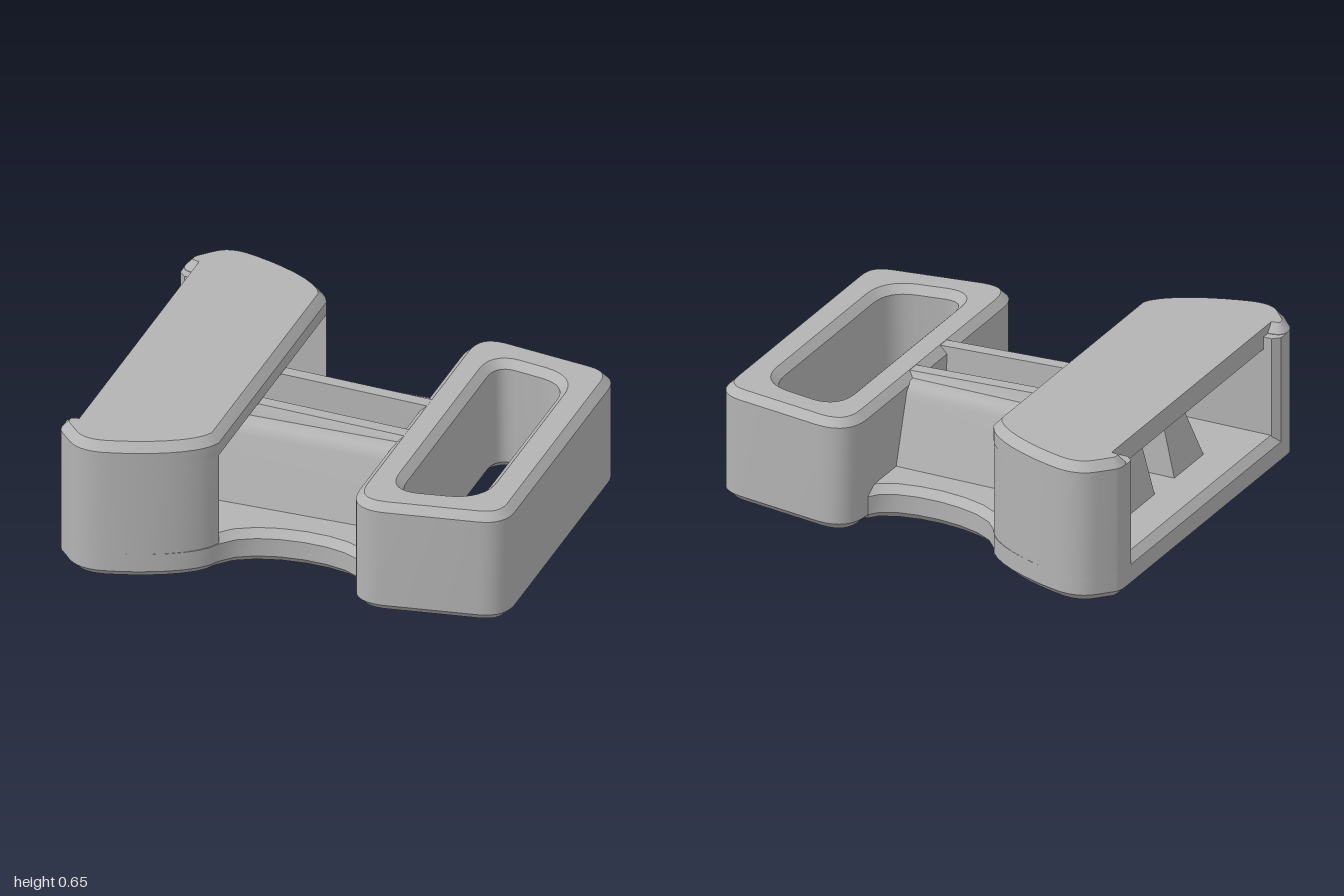
import * as THREE from 'three';
import { toCreasedNormals } from 'three/addons/utils/BufferGeometryUtils.js';

const BEVEL = 0.035;

// Points of a drawn path, without repeated neighbours
function trace(x, z, draw) {
  const path = new THREE.Path();
  path.moveTo(x, z);
  draw(path);
  return path.getPoints(8).filter((p, i, all) => i === 0 || p.distanceTo(all[i - 1]) > 1e-4);
}

// Reflects a list in z while keeping its winding
const flip = (pts) => pts.map((p) => new THREE.Vector2(p.x, -p.y)).reverse();

// Closes a half outline (drawn from z = 0 to z = 0) with its reflection
const mirror = (half) => [...half, ...flip(half.slice(1, -1))];

// Moves an outline inwards by d, with mitred corners
function inset(pts, d) {
  const n = pts.length;
  return pts.map((p, i) => {
    const a = p.clone().sub(pts[(i + n - 1) % n]).normalize();
    const b = pts[(i + 1) % n].clone().sub(p).normalize();
    const k = d / Math.max(0.3, 1 + a.dot(b));
    return new THREE.Vector2(p.x - (a.y + b.y) * k, p.y + (a.x + b.x) * k);
  });
}

// Joins rings of [x, y, z] points with side faces
function sides(out, rings, reverse) {
  for (let r = 0; r < rings.length - 1; r++) {
    const lo = rings[r], hi = rings[r + 1];
    for (let i = 0; i < lo.length; i++) {
      const j = (i + 1) % lo.length;
      const quad = [lo[i], hi[i], lo[j], lo[j], hi[i], hi[j]];
      out.push(...(reverse ? quad.reverse() : quad));
    }
  }
}

function finish(tris) {
  const geo = new THREE.BufferGeometry();
  geo.setAttribute('position', new THREE.Float32BufferAttribute(tris.flat(), 3));
  return toCreasedNormals(geo, 0.5);
}

// Upright block from an outline in x and z; levels are [height, inset]
function block(outline, levels, hole = null, adjust = (p) => p) {
  const tris = [];
  const flat = levels.map(([, d]) => inset(outline, d).map((p, i) => adjust(p, outline[i])));
  const holes = hole ? levels.map(([, d]) => inset(hole, -d)) : null;
  const lift = (pts, l) => pts.map((p) => [p.x, levels[l][0], p.y]);
  sides(tris, flat.map(lift), false);
  if (hole) sides(tris, holes.map(lift), true);
  for (const l of [0, levels.length - 1]) {
    const inner = hole ? [holes[l].slice()] : [];
    const all = lift([...flat[l], ...inner.flat()], l);
    for (const f of THREE.ShapeUtils.triangulateShape(flat[l].slice(), inner)) {
      if (l > 0) f.reverse();
      tris.push(...f.map((i) => all[i]));
    }
  }
  return finish(tris);
}

// Curved outer flank of the wide end, from its inner edge to the open end
function flank(p) {
  p.bezierCurveTo(-0.36, 0.78, -0.6, 0.875, -0.76, 0.91);
  p.quadraticCurveTo(-0.87, 0.93, -0.93, 0.86);
  p.lineTo(-0.985, 0.8);
  p.quadraticCurveTo(-1, 0.78, -1, 0.75);
}

// Guide rib: stepped section with a sloping outer face and a leaning end
function rib(side) {
  const ring = (x, lean) => {
    const h = 0.525 + (0.31 - x) * 0.04;
    const section = [[0.36, 0.15], [0.27, 0.44], [0.26, 0.468], [0.242, 0.488], [0.22, 0.498],
      [0.19, 0.5], [0.17, h], [0.11, h], [0.09, 0.15]];
    const pts = section.map(([z, y]) => [x + lean * (y - 0.15), y, z * side]);
    return side > 0 ? pts : pts.reverse();
  };
  const rings = [ring(-0.8, 0.25), ring(-0.32, 0), ring(0.36, 0)];
  const tris = [];
  sides(tris, rings, false);
  for (const r of [0, 2]) {
    const face = rings[r].map((p) => new THREE.Vector2(p[2], p[1]));
    for (const f of THREE.ShapeUtils.triangulateShape(face, [])) {
      if (r > 0) f.reverse();
      tris.push(...f.map((i) => rings[r][i]));
    }
  }
  return finish(tris);
}

export function createModel() {
  const group = new THREE.Group();
  const grey = new THREE.MeshStandardMaterial({ color: 0xb3b3b3 });
  grey.name = 'plain grey';
  const add = (name, geometry) => {
    const mesh = new THREE.Mesh(geometry, grey);
    mesh.name = name;
    group.add(mesh);
  };

  // Floor plate with a narrow waist
  const floor = mirror(trace(0.42, 0, (p) => {
    p.lineTo(0.42, 0.62);
    p.lineTo(0.31, 0.62);
    p.bezierCurveTo(0.27, 0.48, -0.22, 0.48, -0.32, 0.66);
    flank(p);
    p.lineTo(-1, 0);
  }));
  add('floorPlate', block(floor, [[0, BEVEL], [0.035, 0], [0.12, 0], [0.155, BEVEL]]));

  // Strap loop with its slot
  const loop = mirror(trace(1, 0, (p) => {
    p.lineTo(1, 0.57);
    p.quadraticCurveTo(1, 0.69, 0.88, 0.71);
    p.lineTo(0.47, 0.775);
    p.quadraticCurveTo(0.31, 0.79, 0.31, 0.62);
    p.lineTo(0.31, 0);
  }));
  const slot = mirror(trace(0.825, 0, (p) => {
    p.lineTo(0.825, 0.41);
    p.quadraticCurveTo(0.825, 0.54, 0.7, 0.565);
    p.lineTo(0.57, 0.587);
    p.quadraticCurveTo(0.475, 0.6, 0.475, 0.49);
    p.lineTo(0.475, 0);
  }));
  add('strapLoop', block(loop, [[0, BEVEL], [0.035, 0], [0.49, 0], [0.525, BEVEL]], slot));

  // Roof over the open channel, cut back between two hooked corners
  const roof = mirror(trace(-0.32, 0, (p) => {
    p.lineTo(-0.32, 0.66);
    flank(p);
    p.quadraticCurveTo(-1, 0.7, -0.93, 0.7);
    p.lineTo(-0.93, 0);
  }));
  const keepCut = (p, from) => (Math.abs(from.x + 0.93) < 1e-4 && Math.abs(from.y) < 0.71
    ? new THREE.Vector2(-0.93, p.y) : p);
  add('channelRoof', block(roof, [[0.555, 0], [0.615, 0], [0.655, BEVEL]], null, keepCut));

  // Side walls of the channel
  const wall = trace(-0.32, 0.655, (p) => {
    flank(p);
    p.lineTo(-1, 0.69);
    p.lineTo(-0.97, 0.66);
    p.lineTo(-0.36, 0.655);
  });
  add('leftWall', block(wall, [[0.12, 0], [0.613, 0]]));
  add('rightWall', block(flip(wall), [[0.12, 0], [0.613, 0]]));

  // Pair of guide ribs
  add('leftRib', rib(1));
  add('rightRib', rib(-1));

  return group;
}
